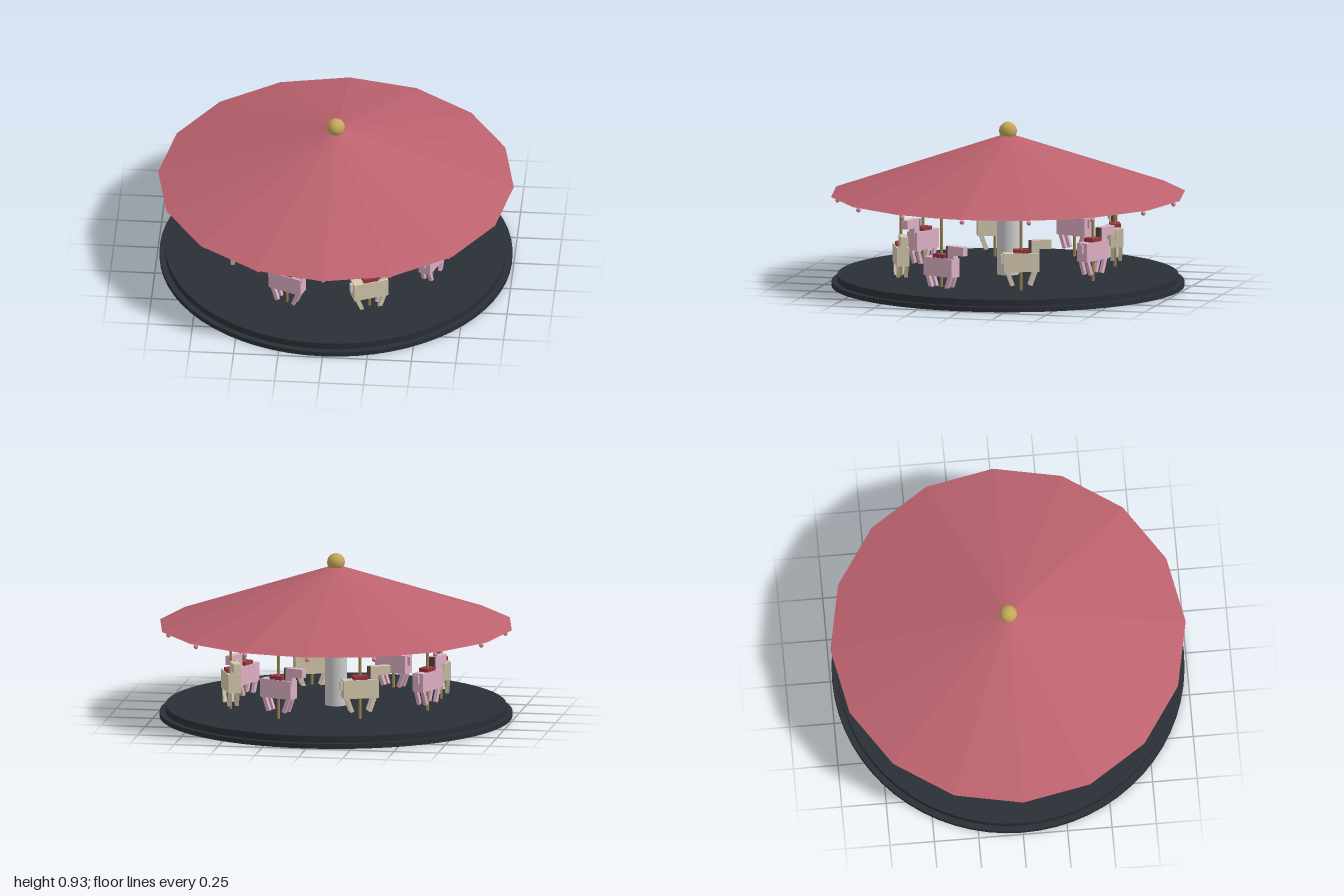
import * as THREE from 'three';

const mat = (color, flatShading = false) => new THREE.MeshStandardMaterial({ color, flatShading });
const M = {
  deck: mat(0x2a2f36), column: mat(0xcccccc), canopy: mat(0xbc626e, true), ceiling: mat(0xe2a0aa),
  bulb: mat(0xd98a98), gold: mat(0xc2a858), pole: mat(0x9a8650),
  pink: mat(0xdcaec2, true), cream: mat(0xd6cab0, true), mane: mat(0x54403a, true), saddle: mat(0x9c3440, true),
};

function add(parent, name, geometry, material, x = 0, y = 0, z = 0) {
  const mesh = new THREE.Mesh(geometry, material);
  mesh.name = name;
  mesh.position.set(x, y, z);
  parent.add(mesh);
  return mesh;
}

const box = (w, h, d) => new THREE.BoxGeometry(w, h, d);
// Cylinder spanning bottom..top
function drum(parent, name, r, bottom, top, material, sides = 64) {
  return add(parent, name, new THREE.CylinderGeometry(r, r, top - bottom, sides), material, 0, (bottom + top) / 2);
}

// Horse faces +x; the origin is the middle of its body
function createHorse(coat) {
  const horse = new THREE.Group();
  horse.name = 'horse';
  add(horse, 'body', box(0.2, 0.105, 0.07), coat);
  add(horse, 'neck', box(0.045, 0.1, 0.042), coat, 0.08, 0.075);
  add(horse, 'head', box(0.11, 0.05, 0.042), coat, 0.115, 0.1);
  add(horse, 'mane', box(0.016, 0.075, 0.03), M.mane, 0.052, 0.085);
  add(horse, 'tail', box(0.018, 0.05, 0.02), coat, -0.106, 0.02);
  add(horse, 'saddle', box(0.085, 0.026, 0.058), M.saddle, 0, 0.06);
  // Legs lean inward under the body
  for (const sx of [-1, 1]) {
    for (const sz of [-1, 1]) {
      const leg = add(horse, 'leg', box(0.022, 0.095, 0.02), coat, sx * 0.066, -0.085, sz * 0.022);
      leg.rotation.z = -sx * -0.0 + (sx > 0 ? -0.35 : 0.35);
    }
  }
  return horse;
}

export function createModel() {
  const model = new THREE.Group();
  model.name = 'carousel';

  // Stepped platform and centre column
  drum(model, 'platformRim', 0.99, 0, 0.027, M.deck);
  drum(model, 'platformDeck', 0.957, 0.027, 0.065, M.deck);
  drum(model, 'centreColumn', 0.062, 0.03, 0.52, M.column, 32);

  // Faceted canopy with flat ceiling and finial
  add(model, 'canopy', new THREE.ConeGeometry(1, 0.345, 16), M.canopy, 0, 0.6925);
  drum(model, 'ceiling', 0.94, 0.511, 0.522, M.ceiling);
  add(model, 'finial', new THREE.SphereGeometry(0.05, 24, 16), M.gold, 0, 0.878);

  // Bulbs under the eaves
  const bulb = new THREE.SphereGeometry(0.0135, 12, 8);
  for (let i = 0; i < 16; i++) {
    const a = (i / 16) * Math.PI * 2;
    add(model, 'bulb', bulb, M.bulb, 0.963 * Math.sin(a), 0.501, 0.963 * Math.cos(a));
  }

  // Eight horses riding at different heights, alternating coats
  const heights = [0.205, 0.185, 0.18, 0.225, 0.255, 0.27, 0.265, 0.245];
  heights.forEach((y, i) => {
    const mount = new THREE.Group();
    mount.name = 'mount';
    mount.rotation.y = (i - 0.5) * Math.PI / 4;
    const horse = createHorse(i % 2 ? M.cream : M.pink);
    horse.position.set(0, y, 0.605);
    const pole = drum(mount, 'pole', 0.008, y - 0.173, 0.52, M.pole, 12);
    pole.position.z = 0.605;
    mount.add(horse);
    model.add(mount);
  });
  return model;
}
